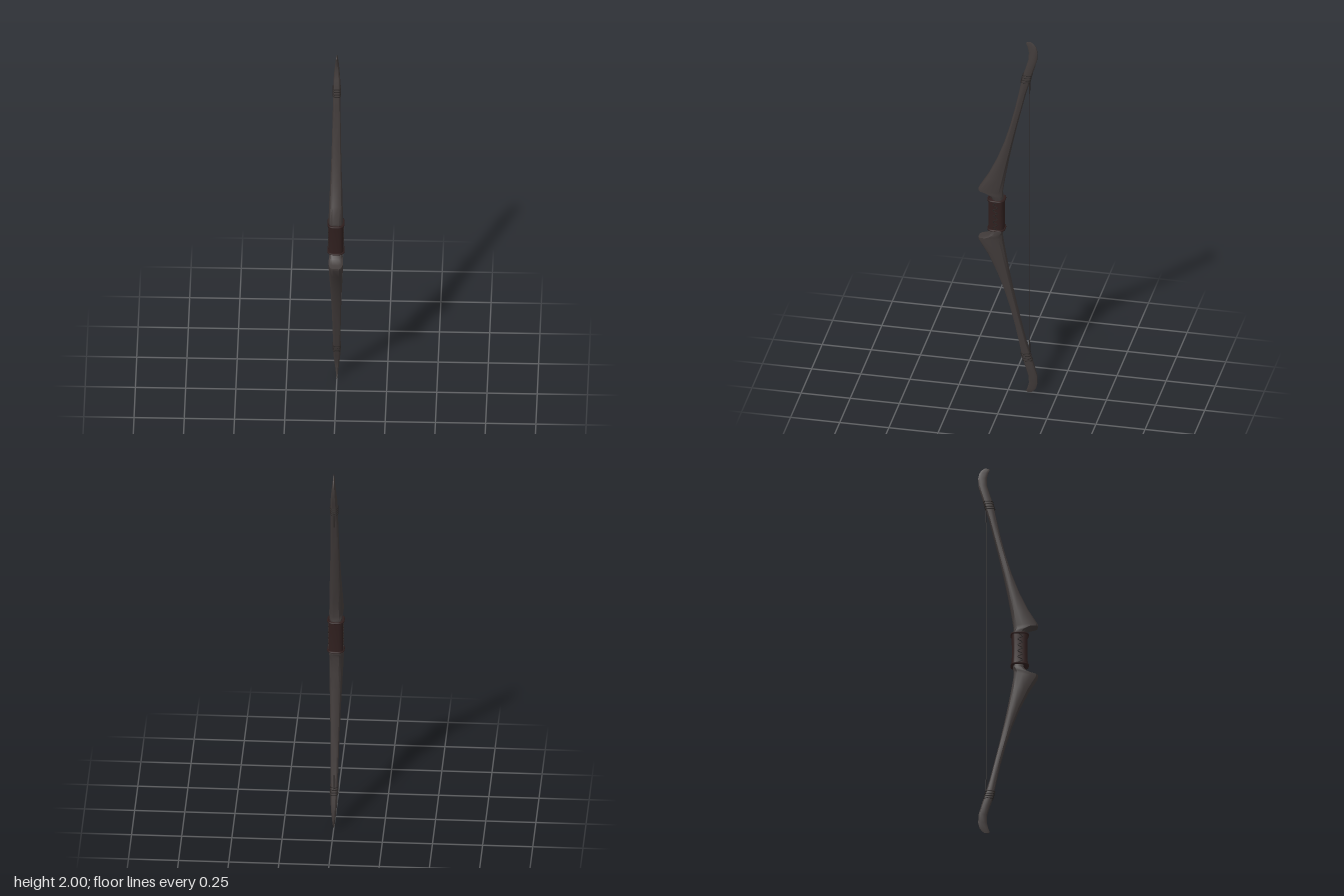
import * as THREE from 'three';
import { toCreasedNormals } from 'three/addons/utils/BufferGeometryUtils.js';

const mat = (name, color) => {
  const m = new THREE.MeshStandardMaterial({ color });
  m.name = name;
  return m;
};

// Limb stations from grip to tip: front y, front z, back y, back z, half width
const LIMB = [
  [1.06, 0.08, 1.06, 0.027, 0.026],
  [1.09, 0.077, 1.095, 0.025, 0.031],
  [1.115, 0.095, 1.10, 0.027, 0.034],
  [1.128, 0.125, 1.11, 0.028, 0.036],
  [1.133, 0.148, 1.12, 0.029, 0.036],
  [1.145, 0.148, 1.13, 0.029, 0.036],
  [1.22, 0.102, 1.20, 0.018, 0.034],
  [1.32, 0.055, 1.30, 0.0, 0.03],
  [1.42, 0.018, 1.40, -0.02, 0.026],
  [1.52, -0.012, 1.51, -0.044, 0.023],
  [1.62, -0.037, 1.61, -0.068, 0.021],
  [1.72, -0.058, 1.71, -0.092, 0.019],
  [1.80, -0.073, 1.79, -0.115, 0.018],
  [1.86, -0.092, 1.85, -0.133, 0.017],
  [1.905, -0.105, 1.90, -0.147, 0.013],
  [1.945, -0.106, 1.945, -0.149, 0.0085],
  [1.975, -0.099, 1.975, -0.142, 0.005],
  [1.994, -0.091, 1.99, -0.13, 0.0025],
  [2.0, -0.097, 2.0, -0.118, 0.001],
];

// Half cross-section: depth from front to back, share of the half width
const HALF = [[0, 0.45], [0.08, 0.8], [0.3, 1], [0.65, 0.95], [0.88, 0.8], [1, 0.45]];
const RING = [...HALF, ...HALF.map(([t, w]) => [t, -w]).reverse()];

function limbGeometry(sign) {
  const pos = [], idx = [], n = RING.length;
  for (const [fy, fz, by, bz, w] of LIMB) {
    for (const [t, s] of RING) {
      const y = THREE.MathUtils.lerp(fy, by, t);
      pos.push(s * w, 1 + sign * (y - 1), THREE.MathUtils.lerp(fz, bz, t));
    }
  }
  const tri = (a, b, c) => (sign > 0 ? idx.push(a, b, c) : idx.push(a, c, b));
  for (let i = 0; i < LIMB.length - 1; i++) {
    for (let j = 0; j < n; j++) {
      const a = i * n + j, b = i * n + (j + 1) % n;
      tri(a, b, b + n);
      tri(a, b + n, a + n);
    }
  }
  const last = (LIMB.length - 1) * n;
  for (let j = 1; j < n - 1; j++) tri(last, last + j, last + j + 1);
  const g = new THREE.BufferGeometry();
  g.setAttribute('position', new THREE.Float32BufferAttribute(pos, 3));
  g.setIndex(idx);
  return toCreasedNormals(g, 0.6);
}

// Rounded-rectangle loop around the grip
function gripLoop(hx, hz, y, cz) {
  const pts = [];
  for (let i = 0; i < 24; i++) {
    const a = (i / 24) * Math.PI * 2, c = Math.cos(a), s = Math.sin(a);
    pts.push(new THREE.Vector3(
      hx * Math.sign(c) * Math.abs(c) ** 0.6, y, cz + hz * Math.sign(s) * Math.abs(s) ** 0.6));
  }
  return new THREE.CatmullRomCurve3(pts, true);
}

export function createModel() {
  const model = new THREE.Group();
  const wood = mat('dark wood', 0x403a39);
  const leather = mat('dark leather', 0x2f1f1e);
  const cord = mat('cord', 0x2a2625);
  const add = (name, geo, material, parent = model) => {
    const m = new THREE.Mesh(geo, material);
    m.name = name;
    parent.add(m);
    return m;
  };

  // Grip: a slightly waisted rounded block
  const grip = new THREE.CylinderGeometry(1, 1, 0.17, 24, 6);
  const p = grip.attributes.position;
  for (let i = 0; i < p.count; i++) {
    const x = p.getX(i), y = p.getY(i), z = p.getZ(i);
    const k = 0.95 + 0.05 * (y / 0.085) ** 2;
    p.setXYZ(i, 0.038 * k * Math.sign(x) * Math.abs(x) ** 0.6, y + 1.005,
      0.058 + 0.041 * k * Math.sign(z) * Math.abs(z) ** 0.6);
  }
  add('grip', toCreasedNormals(grip, 0.7), leather);

  // Rims and lacing of the grip
  for (const y of [0.922, 1.088]) {
    add('gripRim', new THREE.TubeGeometry(gripLoop(0.039, 0.041, y, 0.058), 48, 0.005, 6, true), leather);
  }
  for (const x of [-0.0385, 0.0385]) {
    const lace = [];
    for (let i = 0; i <= 10; i++) {
      lace.push(new THREE.Vector3(x, 0.925 + i * 0.016, 0.058 + (i % 2 ? 0.012 : -0.012)));
    }
    add('gripLacing', new THREE.TubeGeometry(new THREE.CatmullRomCurve3(lace), 60, 0.002, 5), cord);
  }

  // Limbs with string bindings near the tips
  for (const sign of [1, -1]) {
    const limb = new THREE.Group();
    limb.name = sign > 0 ? 'upperLimb' : 'lowerLimb';
    model.add(limb);
    add('limb', limbGeometry(sign), wood, limb);
    for (let i = 0; i < 4; i++) {
      const h = 1.775 + i * 0.013;
      const loop = gripLoop(0.019, 0.023, 1 + sign * (h - 1), -0.094 - (h - 1.795) * 0.25);
      add('stringBinding', new THREE.TubeGeometry(loop, 36, 0.0025, 5, true), cord, limb);
    }
    const tail = new THREE.CylinderGeometry(0.004, 0.002, 0.1, 6);
    if (sign < 0) tail.rotateX(Math.PI);
    add('stringTail', tail, cord, limb).position.set(0, 1 + sign * 0.755, -0.11);
  }

  // Bowstring
  add('string', new THREE.CylinderGeometry(0.001, 0.001, 1.56, 6), cord).position.set(0, 1, -0.108);
  return model;
}
